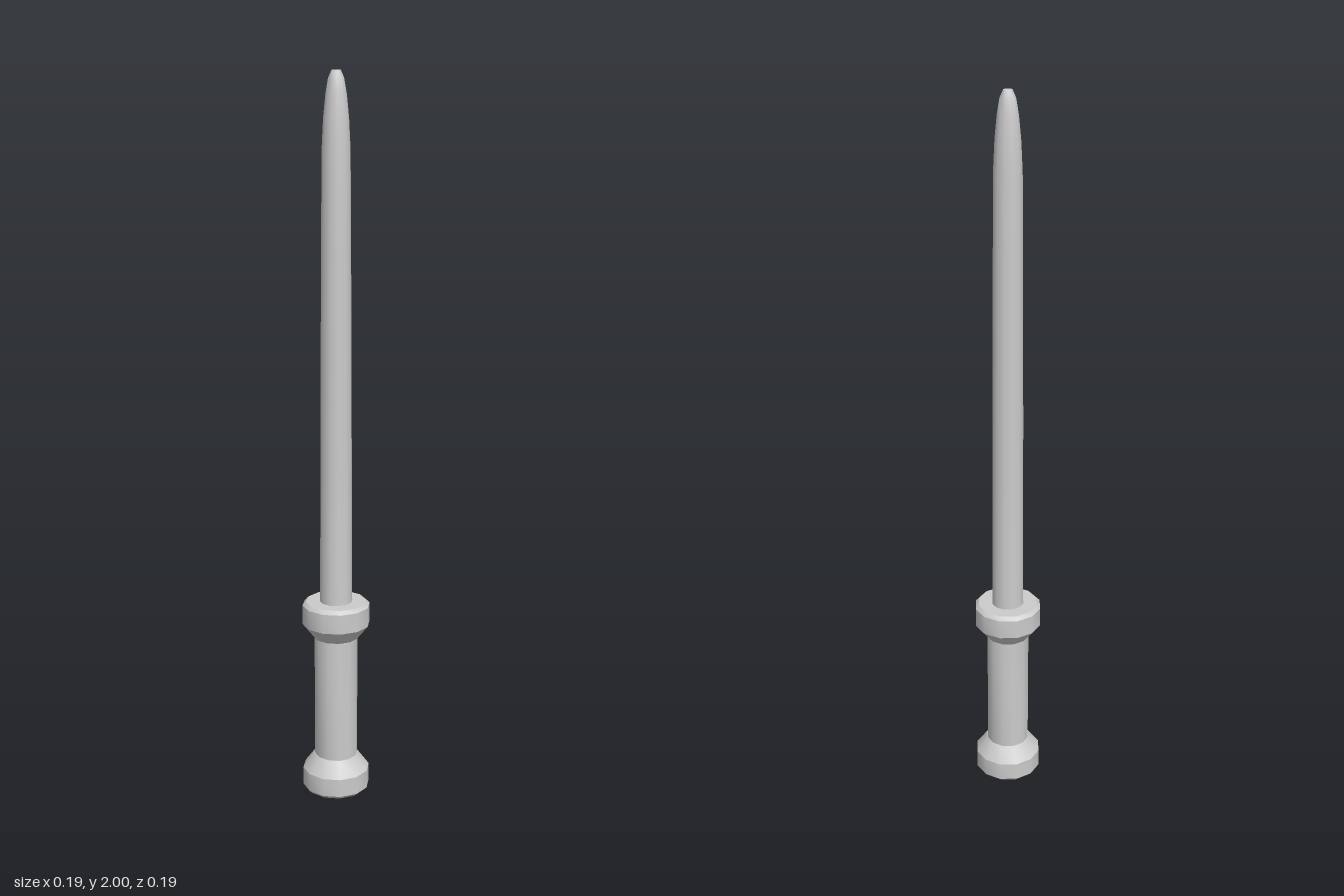
import * as THREE from 'three';
import { toCreasedNormals } from 'three/addons/utils/BufferGeometryUtils.js';

const SIDES = 12;
const material = new THREE.MeshStandardMaterial({ color: 0xcccccc });

// Turned part from [radius, height] pairs listed from bottom to top
function turned(name, profile) {
  const points = profile.map(([r, y]) => new THREE.Vector2(r, y));
  const geometry = toCreasedNormals(new THREE.LatheGeometry(points, SIDES), 0.6);
  const mesh = new THREE.Mesh(geometry, material);
  mesh.name = name;
  return mesh;
}

export function createModel() {
  const group = new THREE.Group();
  group.name = 'baton';

  // Flared end cap, bevelled at the bottom
  group.add(turned('pommel', [
    [0, 0], [0.085, 0], [0.095, 0.01], [0.095, 0.062], [0.063, 0.105], [0, 0.105],
  ]));

  // Straight grip
  group.add(turned('grip', [[0.061, 0.1], [0.061, 0.465]]));

  // Flared guard, bevelled at the top
  group.add(turned('guard', [
    [0, 0.46], [0.063, 0.46], [0.095, 0.5], [0.095, 0.555], [0.085, 0.565], [0, 0.565],
  ]));

  // Slightly tapering shaft with a rounded, flat-ended tip
  group.add(turned('shaft', [
    [0.046, 0.56], [0.045, 0.58], [0.0425, 1.15], [0.04, 1.55], [0.038, 1.8],
    [0.034, 1.88], [0.028, 1.94], [0.021, 1.98], [0.012, 2], [0, 2],
  ]));

  return group;
}
